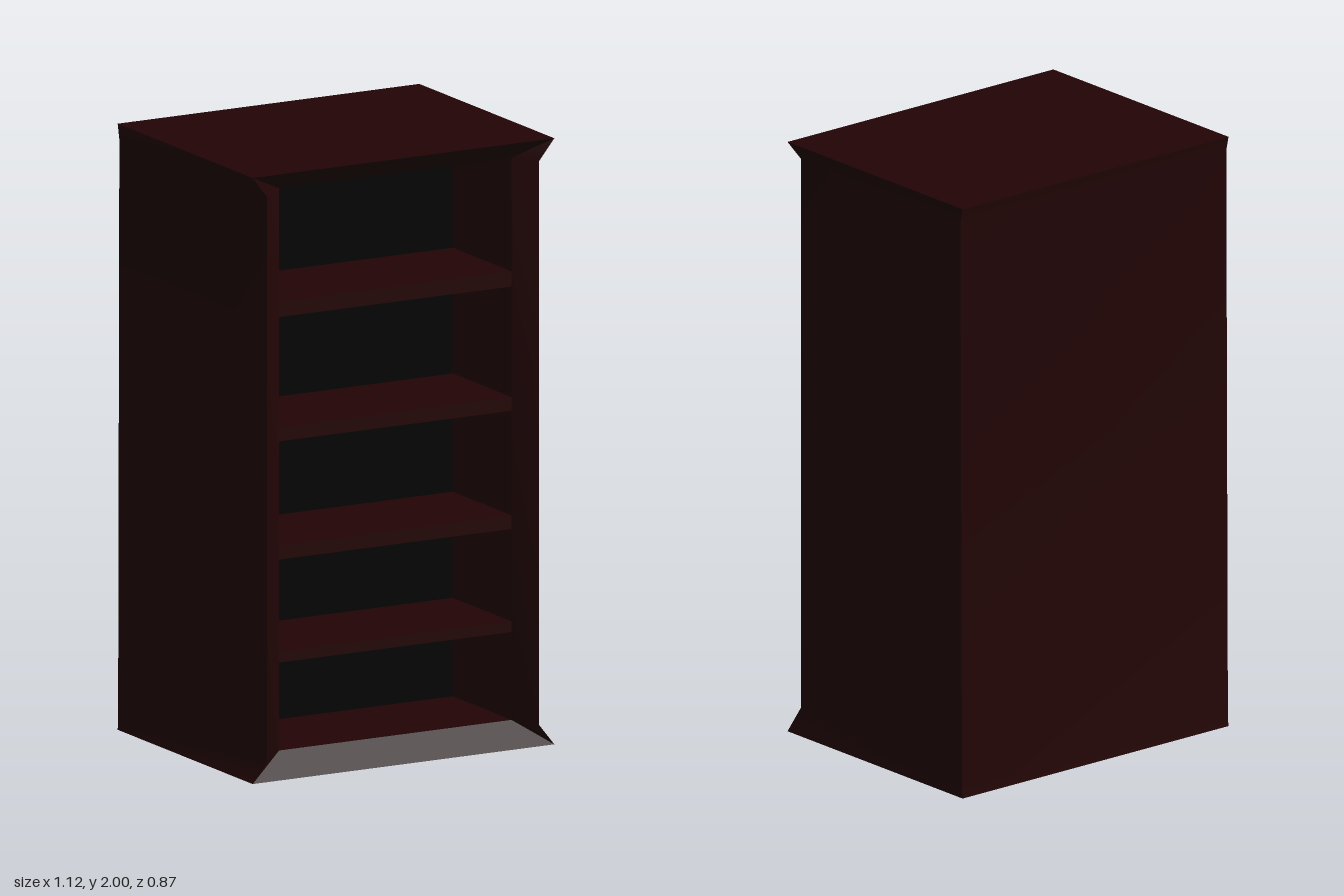
import * as THREE from 'three';
import { toCreasedNormals } from 'three/addons/utils/BufferGeometryUtils.js';

const wood = new THREE.MeshStandardMaterial({ color: 0x220405 });
const black = new THREE.MeshStandardMaterial({ color: 0x020202 });

// Builds a mesh from polygons, each a list of corners counter-clockwise from outside
function facets(name, polygons) {
  const pos = [];
  for (const p of polygons)
    for (let i = 1; i < p.length - 1; i++) pos.push(...p[0], ...p[i], ...p[i + 1]);
  const g = new THREE.BufferGeometry();
  g.setAttribute('position', new THREE.Float32BufferAttribute(pos, 3));
  const mesh = new THREE.Mesh(toCreasedNormals(g, 0.75), wood);
  mesh.name = name;
  return mesh;
}

// Horizontal ring: front left, front right, back right, back left
const level = (yFront, yBack, xFront, zFront, zBack) => [
  [-xFront, yFront, zFront], [xFront, yFront, zFront],
  [0.558, yBack, zBack], [-0.558, yBack, zBack],
];
// Upright ring: bottom left, bottom right, top right, top left
const ring = (x0, x1, y0, y1, z) => [[x0, y0, z], [x1, y0, z], [x1, y1, z], [x0, y1, z]];

export function createModel() {
  const group = new THREE.Group();

  // Outer case: sides taper to the front and flare out at the base and crown
  const levels = [
    level(0, 0, 0.558, 0.436, -0.437),
    level(0.07, 0.03, 0.503, 0.433, -0.434),
    level(1.93, 1.95, 0.503, 0.433, -0.426),
    level(2, 2, 0.558, 0.436, -0.437),
  ];
  const shell = [levels[3], [...levels[0]].reverse()];
  for (let i = 0; i < 3; i++)
    for (let k = 1; k < 4; k++) { // right side, back, left side
      const lo = levels[i], hi = levels[i + 1], n = (k + 1) % 4;
      shell.push([lo[k], lo[n], hi[n], hi[k]]);
    }
  group.add(facets('case', shell));

  // Face frame sloping in to the opening
  const x0 = -0.42, x1 = 0.44, y0 = 0.08, y1 = 1.935, zFace = 0.365, zBack = -0.015;
  const A = ring(-0.558, 0.558, 0, 2, 0.436);
  const B = ring(-0.503, 0.503, 0.07, 1.93, 0.433);
  const C = ring(x0, x1, y0, y1, zFace);
  const D = ring(x0, x1, y0, y1, zBack);
  group.add(facets('faceFrame', [
    [A[0], A[1], C[1], C[0]], [B[1], B[2], C[2], C[1]],
    [A[2], A[3], C[3], C[2]], [B[3], B[0], C[0], C[3]],
    [C[0], B[0], A[0]], [A[1], B[1], C[1]],
    [C[2], B[2], A[2]], [A[3], B[3], C[3]],
  ]));

  // Inner walls, floor and ceiling
  group.add(facets('interior', C.map((c, k) => {
    const n = (k + 1) % 4;
    return [c, C[n], D[n], D[k]];
  })));

  // Dark panel behind the shelves
  const panel = new THREE.Mesh(new THREE.PlaneGeometry(x1 - x0, y1 - y0), black);
  panel.position.set((x0 + x1) / 2, (y0 + y1) / 2, zBack);
  panel.name = 'backPanel';
  group.add(panel);

  // Shelves, bottom and top heights
  for (const [lo, hi] of [[0.37, 0.405], [0.71, 0.755], [1.1, 1.145], [1.51, 1.56]]) {
    const shelf = new THREE.Mesh(new THREE.BoxGeometry(x1 - x0, hi - lo, zFace - zBack), wood);
    shelf.position.set((x0 + x1) / 2, (lo + hi) / 2, (zFace + zBack) / 2);
    shelf.name = 'shelf';
    group.add(shelf);
  }
  return group;
}
